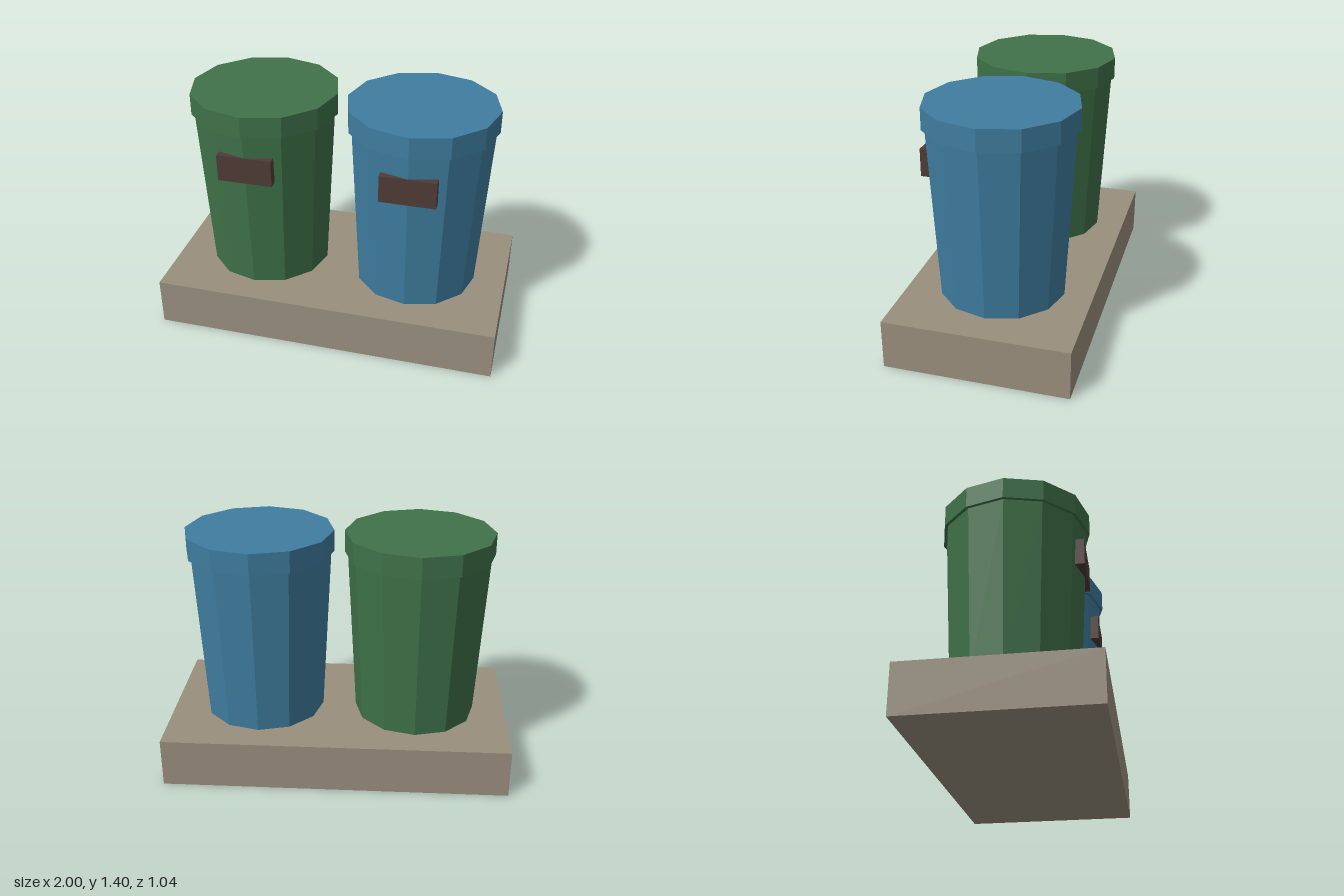
import * as THREE from 'three';

export function createModel() {
  const model = new THREE.Group();
  const material = (name, color) => {
    const m = new THREE.MeshStandardMaterial({ color, flatShading: true });
    m.name = name;
    return m;
  };
  const stone = material('stone', 0x9a8f7e);
  const green = material('green', 0x3f7249);
  const blue = material('blue', 0x3f7d9f);
  const brown = material('brown', 0x4e3c35);

  const add = (parent, name, geometry, mat, x, y, z) => {
    const mesh = new THREE.Mesh(geometry, mat);
    mesh.name = name;
    mesh.position.set(x, y, z);
    parent.add(mesh);
  };

  // Slab under both bins
  const baseTop = 0.285;
  add(model, 'base', new THREE.BoxGeometry(2, baseTop, 1.045), stone, 0, baseTop / 2, 0);

  // Tapered twelve-sided bin with an overhanging lid and a label block
  const lidBottom = 1.275, lidTop = 1.4;
  const addBin = (name, mat, x) => {
    const bin = new THREE.Group();
    bin.name = name;
    bin.position.x = x;
    const height = lidBottom - baseTop;
    add(bin, 'body', new THREE.CylinderGeometry(0.41, 0.357, height, 12), mat, 0, baseTop + height / 2, 0);
    add(bin, 'lid', new THREE.CylinderGeometry(0.428, 0.428, lidTop - lidBottom, 12), mat, 0, (lidTop + lidBottom) / 2, 0);
    add(bin, 'label', new THREE.BoxGeometry(0.314, 0.157, 0.055), brown, 0, 1.066, 0.38);
    model.add(bin);
  };
  addBin('greenBin', green, -0.457);
  addBin('blueBin', blue, 0.457);

  return model;
}
